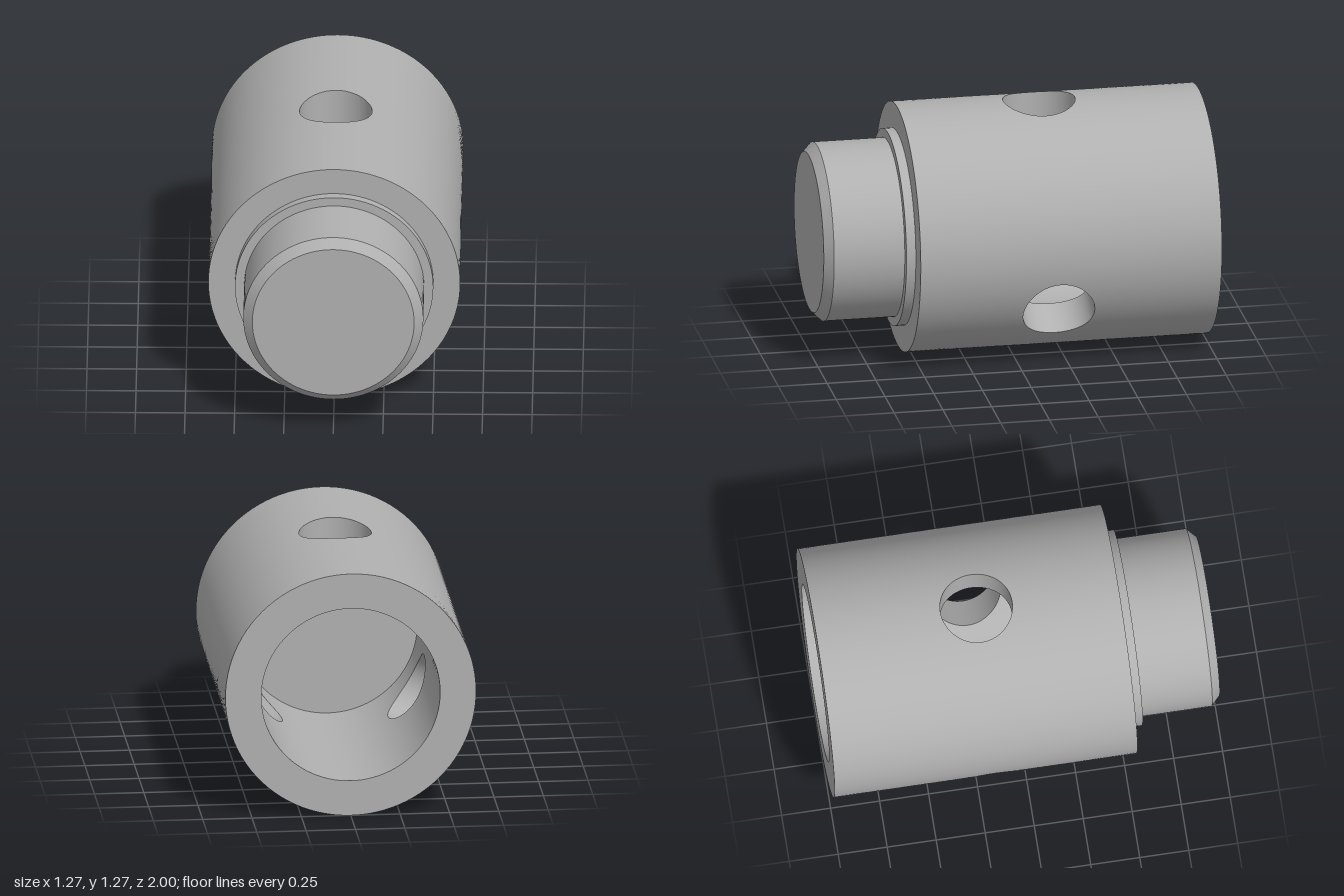
import * as THREE from 'three';
import { ParametricGeometry } from 'three/addons/geometries/ParametricGeometry.js';

const OUTER = 0.635, BORE = 0.453, HOLE = 0.183;
const BACK = -1, SHOULDER = 0.545, BORE_END = 0.2, HOLE_Z = -0.18;
const SEG = 96;

// Point on a cylinder along z, with the angle measured from +y
const onCylinder = (r, angle, z, target) =>
  target.set(r * Math.sin(angle), r * Math.cos(angle), z);

// Walk round a square: u in 0..1 gives a point with sides at -1 and 1
function square(u) {
  const side = Math.floor(u * 4) % 4, a = 2 * (u * 4 - Math.floor(u * 4)) - 1;
  return [[a, -1], [1, a], [-a, 1], [-1, -a]][side];
}

// Edge of the round cross hole on a cylinder of radius r: [angle, z]
function holeEdge(r, u) {
  const [a, b] = square(u), t = Math.atan2(b, a);
  return [Math.asin(HOLE * Math.cos(t) / r), HOLE_Z + HOLE * Math.sin(t)];
}

// A third of a cylinder wall with the hole cut in it
function piercedWall(r, zEnd, inward) {
  return new ParametricGeometry((u, v, target) => {
    const k = inward ? 1 - v : v;
    const [ha, hz] = holeEdge(r, u), [a, b] = square(u);
    const ea = a * Math.PI / 3, ez = b < 0 ? HOLE_Z + b * (HOLE_Z - BACK) : HOLE_Z + b * (zEnd - HOLE_Z);
    onCylinder(r, ha + (ea - ha) * k, hz + (ez - hz) * k, target);
  }, 128, 20);
}

// Wall of the cross hole, from bore to outside
function holeTunnel() {
  const outer = new THREE.Vector3();
  return new ParametricGeometry((u, v, target) => {
    onCylinder(BORE, ...holeEdge(BORE, u), target);
    onCylinder(OUTER, ...holeEdge(OUTER, u), outer);
    target.lerp(outer, v);
  }, 128, 2);
}

export function createModel() {
  const model = new THREE.Group();
  const steel = new THREE.MeshStandardMaterial({ color: 0xb0b0b0 });
  steel.name = 'grey metal';

  const add = (name, geometry, parent = model) => {
    const mesh = new THREE.Mesh(geometry, steel);
    mesh.name = name;
    parent.add(mesh);
    return mesh;
  };
  // Solid turned section between two z positions
  const turned = (name, rBack, rFront, z0, z1) =>
    add(name, new THREE.CylinderGeometry(rFront, rBack, z1 - z0, SEG)
      .rotateX(Math.PI / 2).translate(0, 0, (z0 + z1) / 2));

  // Sleeve with three radial holes, one on top
  const outerWall = piercedWall(OUTER, SHOULDER, false);
  const boreWall = piercedWall(BORE, BORE_END, true);
  const tunnel = holeTunnel();
  for (let i = 0; i < 3; i++) {
    const sector = new THREE.Group();
    sector.name = 'sleeveSector';
    sector.rotation.z = i * Math.PI * 2 / 3;
    add('outerWall', outerWall, sector);
    add('boreWall', boreWall, sector);
    add('radialHole', tunnel, sector);
    model.add(sector);
  }

  // Flat faces of the sleeve
  add('rearRim', new THREE.RingGeometry(BORE, OUTER, SEG).rotateY(Math.PI).translate(0, 0, BACK));
  add('boreFloor', new THREE.CircleGeometry(BORE, SEG).rotateY(Math.PI).translate(0, 0, BORE_END));
  add('frontShoulder', new THREE.RingGeometry(0.49, OUTER, SEG).translate(0, 0, SHOULDER));

  // Stepped front plug
  turned('collar', 0.5, 0.5, SHOULDER, 0.593);
  turned('spigot', 0.454, 0.454, 0.593, 0.955);
  turned('spigotChamfer', 0.454, 0.408, 0.955, 1);

  // Stand the sleeve on the ground
  model.children.forEach((part) => { part.position.y = OUTER; });
  return model;
}
